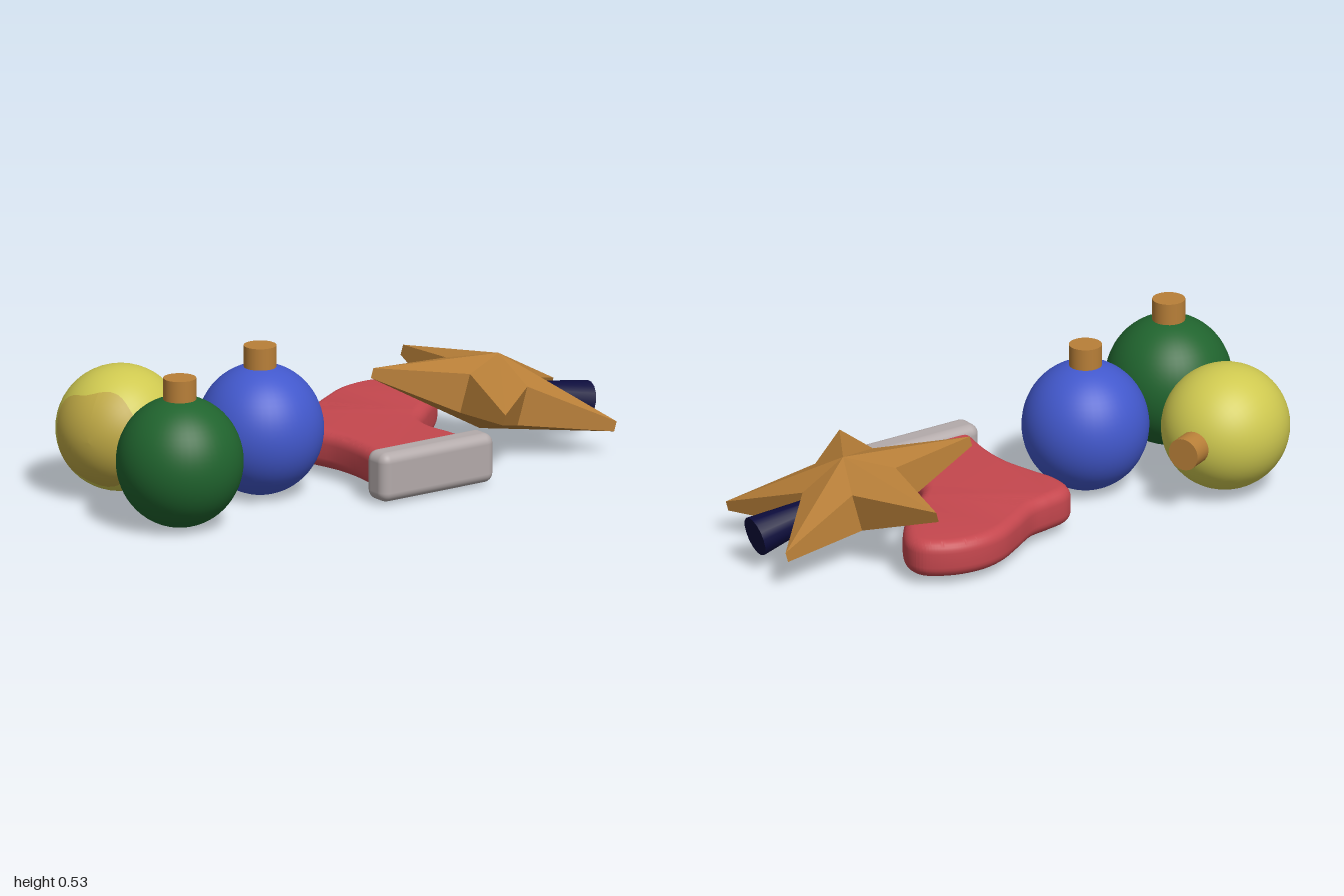
import * as THREE from 'three';
import { toCreasedNormals } from 'three/addons/utils/BufferGeometryUtils.js';
import { RoundedBoxGeometry } from 'three/addons/geometries/RoundedBoxGeometry.js';

const paint = (name, color) => Object.assign(new THREE.MeshStandardMaterial({ color }), { name });

function add(parent, name, geometry, material) {
  const mesh = new THREE.Mesh(geometry, material);
  mesh.name = name;
  parent.add(mesh);
  return mesh;
}

// Slightly tall sphere with a round cap, centred on its own origin
function bauble(name, ballMaterial, capMaterial) {
  const group = new THREE.Group();
  group.name = name;
  add(group, 'ball', new THREE.SphereGeometry(0.22, 48, 32).scale(1, 1.045, 1), ballMaterial);
  add(group, 'cap', new THREE.CylinderGeometry(0.057, 0.057, 0.09, 32).translate(0, 0.253, 0), capMaterial);
  return group;
}

// Thin wavy-edged shell over the bottom of a bauble
function bottomPatch() {
  const geo = new THREE.SphereGeometry(0.2215, 48, 10, 0, Math.PI * 2, Math.PI - 0.86, 0.86);
  const p = geo.attributes.position;
  for (let i = 0; i < p.count; i++) {
    const phi = Math.atan2(p.getZ(i), p.getX(i));
    const t = Math.acos(Math.min(1, -p.getY(i) / 0.2215)) * (1 + 0.07 * Math.sin(5 * phi) + 0.05 * Math.cos(3 * phi));
    p.setXYZ(i, 0.2215 * Math.sin(t) * Math.cos(phi), -0.2215 * Math.cos(t), 0.2215 * Math.sin(t) * Math.sin(phi));
  }
  geo.scale(1, 1.045, 1);
  geo.computeVertexNormals();
  return geo;
}

// Faceted five-point star: thick at the inner corners, thin at the tips
function starGeometry() {
  const upper = [], lower = [], out = [];
  for (let i = 0; i < 10; i++) {
    const tip = i % 2 === 0;
    const a = THREE.MathUtils.degToRad(29 + i * 36), r = tip ? 0.456 : 0.174, h = tip ? 0.018 : 0.07;
    upper.push([r * Math.cos(a), h, r * Math.sin(a)]);
    lower.push([r * Math.cos(a), -h, r * Math.sin(a)]);
  }
  const top = [0, 0.136, 0], bottom = [0, -0.136, 0];
  for (let i = 0; i < 10; i++) {
    const j = (i + 1) % 10;
    out.push(top, upper[j], upper[i], bottom, lower[i], lower[j]);
    out.push(lower[i], upper[i], lower[j], upper[i], upper[j], lower[j]);
  }
  const geo = new THREE.BufferGeometry();
  geo.setAttribute('position', new THREE.Float32BufferAttribute(out.flat(), 3));
  geo.computeVertexNormals();
  return geo;
}

// Stocking outline seen from above (x, z), extruded with rounded edges
function stockingGeometry() {
  const side = [
    [0.03, 0.29], [0.01, 0.16], [-0.03, 0.04], [-0.09, -0.06], [-0.15, -0.15], [-0.17, -0.235],
    [-0.145, -0.29], [-0.075, -0.335], [0, -0.38], [0.075, -0.47], [0.155, -0.56], [0.245, -0.615],
    [0.35, -0.635], [0.45, -0.615], [0.495, -0.56], [0.495, -0.48], [0.455, -0.36], [0.39, -0.24],
    [0.33, -0.12], [0.335, -0.015], [0.38, 0.08], [0.415, 0.165],
  ].map(([x, z]) => new THREE.Vector2(x, z));
  const shape = new THREE.Shape();
  shape.moveTo(side[0].x, side[0].y);
  shape.splineThru(side.slice(1));
  shape.closePath();
  const bevel = 0.042;
  const geo = new THREE.ExtrudeGeometry(shape, {
    depth: 0.135 - 2 * bevel, curveSegments: 72, bevelEnabled: true,
    bevelSize: bevel, bevelThickness: bevel, bevelOffset: -bevel, bevelSegments: 6,
  });
  geo.rotateX(Math.PI / 2).translate(0, 0.165 - bevel, 0);
  return toCreasedNormals(geo, 0.7);
}

export function createModel() {
  const model = new THREE.Group();
  model.name = 'ornaments';
  const gold = paint('gold', 0xb87f38);
  const green = paint('green', 0x20642e);
  const blue = paint('blue', 0x4258cc);
  const yellow = paint('yellow', 0xcfc950);
  const darkYellow = paint('dark yellow', 0xbfa945);
  const red = paint('red', 0xc5474e);
  const white = paint('warm grey', 0xb3aaaa);
  const navy = paint('navy', 0x0c0c3c);

  // Baubles: two upright, one lying on its side
  const greenBauble = bauble('greenBauble', green, gold);
  greenBauble.position.set(-0.705, 0.232, 0.41);
  const blueBauble = bauble('blueBauble', blue, gold);
  blueBauble.position.set(-0.32, 0.232, 0.1);
  const yellowBauble = bauble('yellowBauble', yellow, gold);
  add(yellowBauble, 'bottomPatch', bottomPatch(), darkYellow);
  yellowBauble.position.set(-0.778, 0.235, -0.05);
  yellowBauble.rotation.set(0, Math.PI / 4, -Math.PI / 2);
  model.add(greenBauble, blueBauble, yellowBauble);

  // Stocking lying flat, with a rounded cuff
  const stocking = new THREE.Group();
  stocking.name = 'stocking';
  add(stocking, 'sock', stockingGeometry(), red);
  const cuff = add(stocking, 'cuff', new RoundedBoxGeometry(0.48, 0.175, 0.11, 5, 0.035), white);
  cuff.position.set(0.24, 0.0975, 0.27);
  cuff.rotation.y = 0.33;
  model.add(stocking);

  // Star leaning on the stocking, with its flared socket
  const star = add(model, 'star', starGeometry(), gold);
  star.position.set(0.596, 0.208, -0.2);
  star.rotation.z = -0.255;
  const inner = new THREE.Vector3(0.66, 0.193, -0.222), outer = new THREE.Vector3(0.969, 0.117, -0.287);
  const axis = outer.clone().sub(inner);
  const socket = add(model, 'starSocket', new THREE.CylinderGeometry(0.071, 0.036, axis.length(), 16), navy);
  socket.position.copy(inner).add(outer).multiplyScalar(0.5);
  socket.quaternion.setFromUnitVectors(new THREE.Vector3(0, 1, 0), axis.normalize());
  return model;
}
